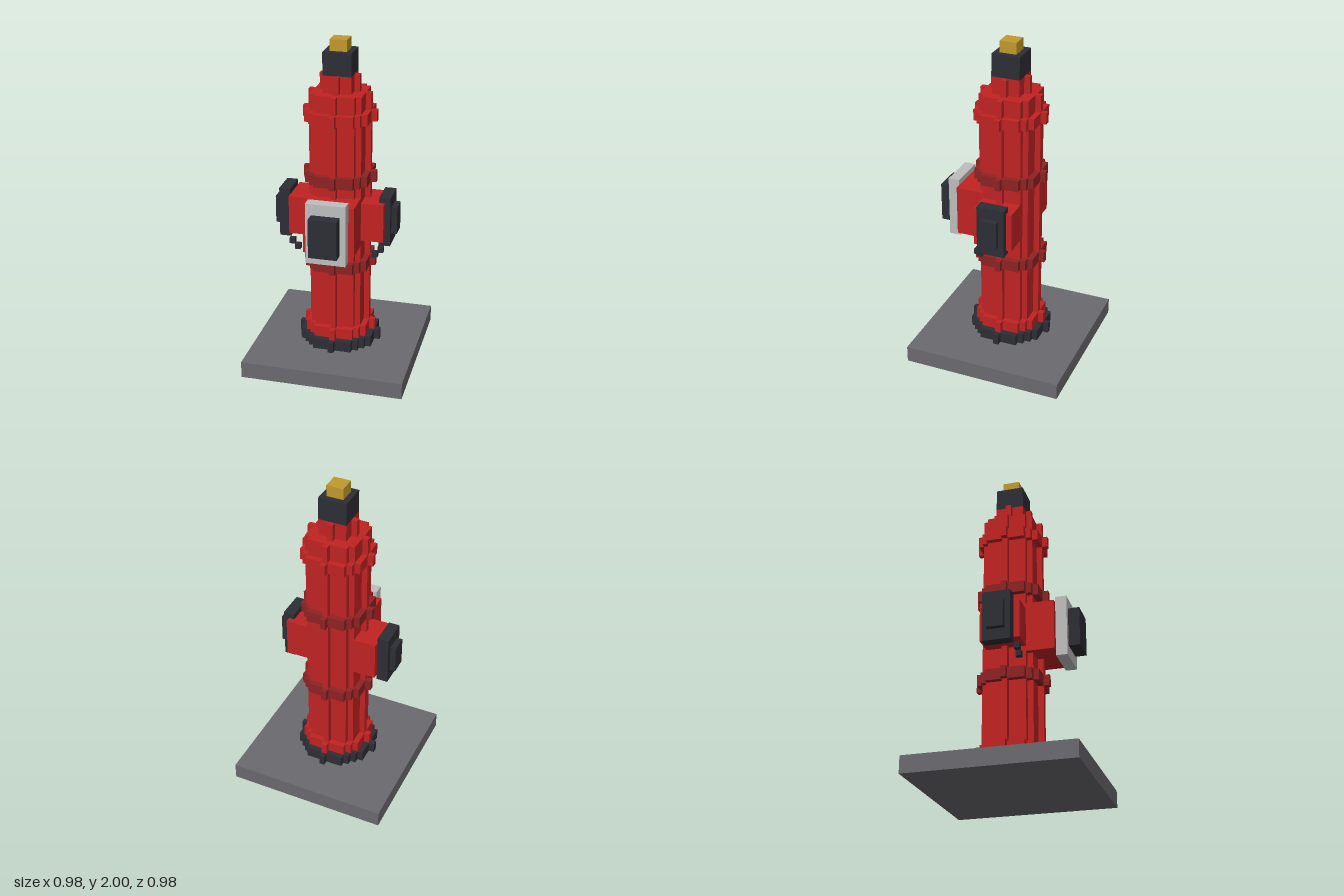
import * as THREE from 'three';

const V = 2 / 59; // one block of the grid

const mat = (name, color) => {
  const m = new THREE.MeshStandardMaterial({ color });
  m.name = name;
  return m;
};

export function createModel() {
  const red = mat('red', 0xc02222);
  const darkRed = mat('dark red', 0x8e2222);
  const dark = mat('charcoal', 0x2d2d35);
  const grey = mat('stone grey', 0x6a6a6f);
  const silver = mat('silver', 0xbebebe);
  const gold = mat('gold', 0xc19a2e);

  const group = new THREE.Group();
  group.name = 'hydrant';

  const add = (name, geometry, material) => {
    const mesh = new THREE.Mesh(geometry, material);
    mesh.name = name;
    group.add(mesh);
  };

  // Box from its limits, in grid blocks
  const box = (name, material, x0, x1, y0, y1, z0, z1) => {
    const g = new THREE.BoxGeometry((x1 - x0) * V, (y1 - y0) * V, (z1 - z0) * V);
    g.translate((x0 + x1) / 2 * V, (y0 + y1) / 2 * V, (z0 + z1) / 2 * V);
    add(name, g, material);
  };

  // Blocky disc: each row is as wide as the circle allows
  const disc = (name, material, r, y0, y1) => {
    const side = [];
    for (let z = -r; z <= r; z++) {
      const w = Math.floor(Math.sqrt(r * r - z * z)) + 0.5;
      const last = side[side.length - 1];
      if (last && last.x === w) last.y = z + 0.5;
      else side.push(new THREE.Vector2(w, z - 0.5), new THREE.Vector2(w, z + 0.5));
    }
    const left = side.map((p) => new THREE.Vector2(-p.x, p.y)).reverse();
    const outline = [...side, ...left].map((p) => p.multiplyScalar(V));
    const g = new THREE.ExtrudeGeometry(new THREE.Shape(outline), { depth: (y1 - y0) * V, bevelEnabled: false });
    g.rotateX(-Math.PI / 2);
    g.translate(0, y0 * V, 0);
    add(name, g, material);
  };

  // Ground slab and stacked body
  box('groundSlab', grey, -14.5, 14.5, 0, 3, -14.5, 14.5);
  disc('footFlange', dark, 7, 3, 5);
  disc('lowerCollar', red, 6, 5, 7);
  disc('lowerBarrel', red, 5, 7, 18);
  disc('lowerBand', darkRed, 6, 18, 20);
  disc('middleBarrel', red, 5, 20, 34);
  disc('upperBand', darkRed, 6, 34, 36);
  disc('upperBarrel', red, 5, 36, 45);
  disc('upperCollar', red, 6, 45, 47);
  disc('topBarrel', red, 5, 47, 50);
  disc('shoulder', red, 3, 50, 53);
  box('bonnet', dark, -2.5, 2.5, 53, 57, -2.5, 2.5);
  box('operatingNut', gold, -1.5, 1.5, 57, 59, -1.5, 1.5);

  // Front outlet
  box('frontOutlet', red, -4.5, 4.5, 23, 32, 2.5, 8.5);
  box('frontOutletFlange', silver, -3.5, 3.5, 22, 33, 8.5, 10.5);
  box('frontOutletCap', dark, -2.5, 2.5, 24, 31, 10.5, 12.5);

  // Side outlets; the left cap sits one block closer in
  for (const [label, s, x] of [['left', 1, 7.5], ['right', -1, 8.5]]) {
    const sideBox = (name, material, a, b, ...rest) =>
      box(label + name, material, Math.min(s * a, s * b), Math.max(s * a, s * b), ...rest);
    sideBox('Outlet', red, 3.5, 8.5, 24, 31, -3.5, 3.5);
    sideBox('OutletFlange', dark, x, x + 2, 23, 32, -2.5, 2.5);
    sideBox('OutletCap', dark, x + 2, x + 3, 25, 30, -1.5, 1.5);
    // Hanging chain links
    for (let i = 0; i < 2; i++) sideBox('ChainLink', dark, 7.5 - i, 8.5 - i, 22 - i, 23 - i, 2.5, 3.5);
  }

  return group;
}
